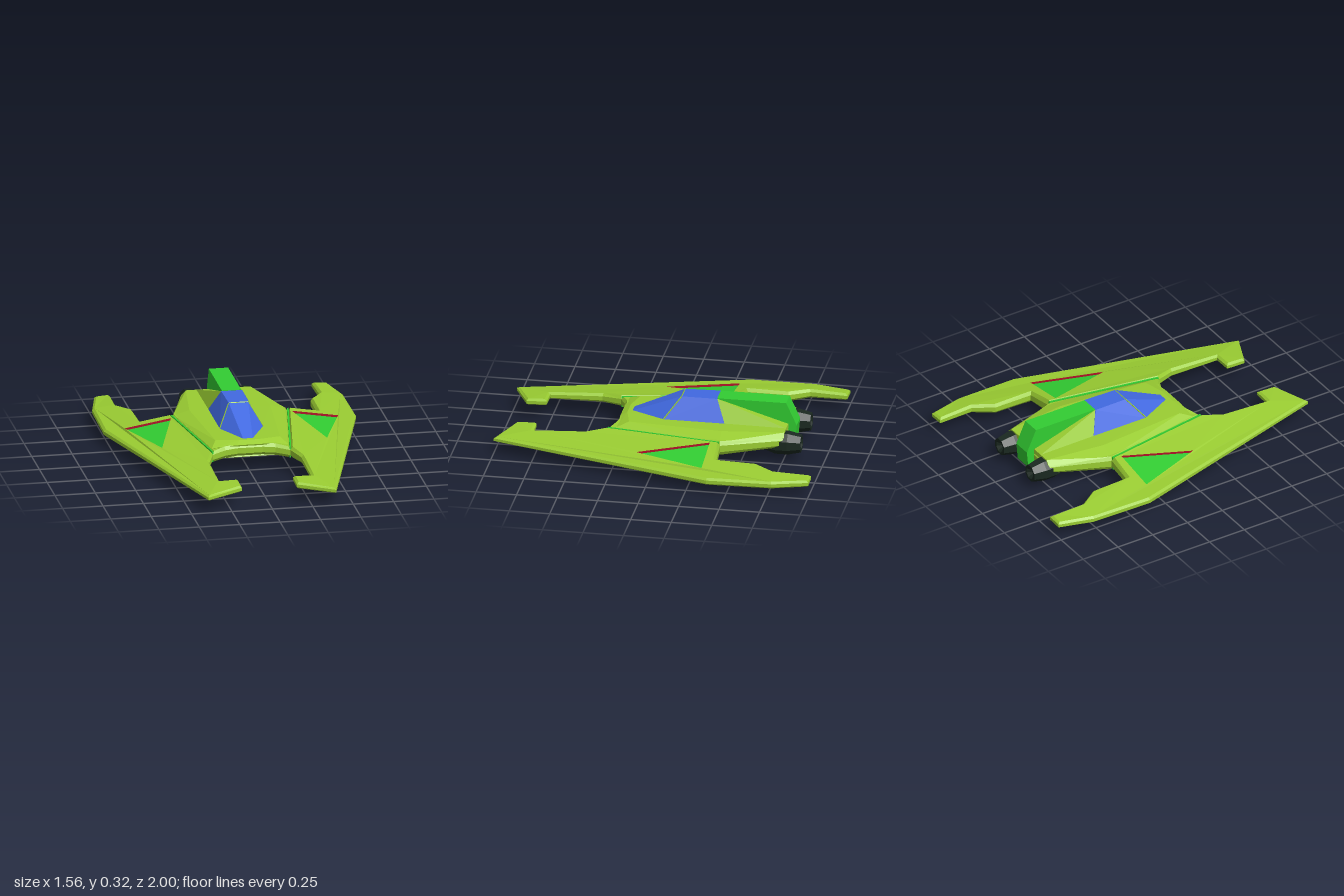
import * as THREE from 'three';
import { ConvexGeometry } from 'three/addons/geometries/ConvexGeometry.js';

const paint = (color, side = THREE.FrontSide) => new THREE.MeshStandardMaterial({ color, flatShading: true, side });
const lime = paint(0x9acd32);
const green = paint(0x32cd32);
const blue = paint(0x4169e1);
const red = paint(0xb01228, THREE.DoubleSide);
const dark = paint(0x1a2820, THREE.DoubleSide);

function part(name, geometry, material) {
  const mesh = new THREE.Mesh(geometry, material);
  mesh.name = name;
  return mesh;
}

function fromTriangles(positions) {
  const g = new THREE.BufferGeometry();
  g.setAttribute('position', new THREE.Float32BufferAttribute(positions, 3));
  g.computeVertexNormals();
  return g;
}

// Convex solid from points listed for one side and mirrored in x
const mirroredHull = (half) => new ConvexGeometry(
  half.flatMap(([x, y, z]) => [new THREE.Vector3(x, y, z), new THREE.Vector3(-x, y, z)]));

// Bevelled plate from an outline of [x, z, yTop, yBottom], with an optional opening in its top
function plate(outline, bevel, hole = []) {
  const flat = (p) => new THREE.Vector2(p[0], -p[1]);
  const n = outline.length;
  const inset = outline.map((p, i) => {
    const here = flat(p);
    const a = here.clone().sub(flat(outline[(i + n - 1) % n])).normalize();
    const b = flat(outline[(i + 1) % n]).sub(here).normalize();
    const k = bevel / (1 + a.dot(b));
    return [p[0] - (a.y + b.y) * k, p[1] - (a.x + b.x) * k];
  });
  const rings = [
    outline.map((p, i) => [inset[i][0], p[3], inset[i][1]]),
    outline.map((p) => [p[0], p[3] + (p[2] - p[3]) * 0.25, p[1]]),
    outline.map((p) => [p[0], p[3] + (p[2] - p[3]) * 0.72, p[1]]),
    outline.map((p, i) => [inset[i][0], p[2], inset[i][1]]),
  ];
  const out = [];
  const tri = (a, b, c) => out.push(...a, ...b, ...c);
  for (let r = 0; r < 3; r++) {
    for (let i = 0; i < n; i++) {
      const j = (i + 1) % n;
      tri(rings[r][i], rings[r][j], rings[r + 1][j]);
      tri(rings[r][i], rings[r + 1][j], rings[r + 1][i]);
    }
  }
  const contour = inset.map(flat);
  const topPoints = [...rings[3], ...hole.map((p) => [p[0], p[2], p[1]])];
  const holes = hole.length ? [hole.map(flat)] : [];
  for (const [a, b, c] of THREE.ShapeUtils.triangulateShape(contour, holes)) tri(topPoints[a], topPoints[b], topPoints[c]);
  for (const [a, b, c] of THREE.ShapeUtils.triangulateShape(contour, [])) tri(rings[0][c], rings[0][b], rings[0][a]);
  return fromTriangles(out);
}

function rod(a, b, radius) {
  return new THREE.TubeGeometry(new THREE.LineCurve3(new THREE.Vector3(...a), new THREE.Vector3(...b)), 1, radius, 4);
}

// One wing with its sunken triangular panel, seam strip and engine
function makeSide(name) {
  const side = new THREE.Group();
  side.name = name;
  const outline = [
    [0.24, 0.33, 0.16, 0.09], [0.285, 0.45, 0.145, 0.088], [0.285, 0.775, 0.127, 0.085],
    [0.17, 0.775, 0.13, 0.088], [0.17, 0.9, 0.125, 0.085], [0.395, 1, 0.107, 0.073],
    [0.78, -0.38, 0.1, 0.055], [0.775, -0.78, 0.103, 0.058], [0.72, -1, 0.105, 0.064],
    [0.625, -1, 0.11, 0.066], [0.63, -0.77, 0.12, 0.064], [0.55, -0.65, 0.127, 0.062],
    [0.545, -0.4, 0.133, 0.06], [0.36, -0.39, 0.167, 0.075],
  ];
  const hole = [[0.374, -0.33, 0.163], [0.66, -0.33, 0.116], [0.51, 0.1, 0.125]];
  side.add(part('wing', plate(outline, 0.014, hole), lime));

  // Recess floor and walls
  const depth = 0.014;
  const top = hole.map(([x, z, y]) => [x, y, z]);
  const floor = hole.map(([x, z, y]) => [x, y - depth, z]);
  side.add(part('wingPanel', fromTriangles([floor[0], floor[2], floor[1]].flat()), green));
  const walls = [];
  for (let i = 0; i < 3; i++) {
    const j = (i + 1) % 3;
    walls.push(...top[i], ...top[j], ...floor[j], ...top[i], ...floor[j], ...floor[i]);
  }
  side.add(part('panelRecessWalls', fromTriangles(walls), red));

  // Strip between wing and body
  const seam = [[0.234, 0.325, 0.159, 0.091], [0.246, 0.325, 0.159, 0.091],
    [0.366, -0.385, 0.165, 0.076], [0.354, -0.385, 0.165, 0.076]];
  side.add(part('seamStrip', plate(seam, 0.001), green));

  // Eight-sided engine with a hollow nozzle
  const profile = [[0, 0.6], [0.045, 0.62], [0.073, 0.7], [0.073, 0.78], [0.055, 0.86], [0.04, 0.86], [0, 0.82]];
  const engine = new THREE.LatheGeometry(profile.map(([r, y]) => new THREE.Vector2(r, y)), 8);
  engine.rotateY(Math.PI / 8).rotateX(-Math.PI / 2).translate(0.172, 0.112, 0);
  side.add(part('engine', engine, dark));
  return side;
}

export function createModel() {
  const model = new THREE.Group();
  model.name = 'starfighter';

  const left = makeSide('leftSide');
  const right = makeSide('rightSide');
  right.scale.x = -1;
  model.add(left, right);

  // Body: curved-front plate, raised deck and keel
  const halfBody = [[0.08, 0.278, 0.175, 0.1], [0.155, 0.29, 0.17, 0.097], [0.24, 0.33, 0.158, 0.09],
    [0.36, -0.39, 0.165, 0.075], [0.23, -0.76, 0.165, 0.1]];
  const bodyOutline = [...halfBody.map(([x, ...rest]) => [-x, ...rest]).reverse(), ...halfBody];
  model.add(part('body', plate(bodyOutline, 0.014), lime));
  model.add(part('upperDeck', mirroredHull([
    [0.08, 0.172, 0.275], [0.235, 0.16, 0.27], [0.35, 0.16, -0.385], [0.228, 0.16, -0.76],
    [0.06, 0.19, 0.235], [0.2, 0.188, 0.2], [0.25, 0.19, -0.38], [0.2, 0.188, -0.758],
  ]), lime));
  model.add(part('keel', mirroredHull([
    [0.085, 0, 0], [0.085, 0, -0.34], [0.06, 0.042, -0.74], [0.08, 0.103, 0.265],
    [0.225, 0.095, 0.27], [0.345, 0.085, -0.38], [0.215, 0.11, -0.745],
  ]), lime));

  // Canopy with thin frame bars
  model.add(part('canopy', mirroredHull([
    [0.03, 0.188, 0.212], [0.135, 0.188, 0], [0.135, 0.188, -0.378], [0.06, 0.318, -0.1], [0.065, 0.32, -0.32],
  ]), blue));
  model.add(part('canopyFrameTop', rod([-0.06, 0.317, -0.1], [0.06, 0.317, -0.1], 0.004), lime));
  for (const s of [1, -1]) {
    model.add(part('canopyFrameSide', rod([s * 0.06, 0.317, -0.1], [s * 0.135, 0.189, 0], 0.004), lime));
  }

  // Sloping flanks behind the canopy
  model.add(part('finFlanks', mirroredHull([
    [0.135, 0.187, -0.378], [0.063, 0.319, -0.32], [0.135, 0.187, -0.758], [0.065, 0.187, -0.758],
  ]), lime));

  // Tail fin wrapping over the stern and under the keel
  const profile = [[0.32, 0.322], [0.745, 0.322], [0.81, 0.18], [0.8, 0.07], [0.77, 0.04], [0.6, 0.024], [0.5, 0.1], [0.34, 0.19]];
  const fin = new THREE.ExtrudeGeometry(new THREE.Shape(profile.map(([z, y]) => new THREE.Vector2(z, y))),
    { depth: 0.12, bevelEnabled: false });
  fin.translate(0, 0, -0.06).rotateY(Math.PI / 2);
  model.add(part('tailFin', fin, green));

  return model;
}
